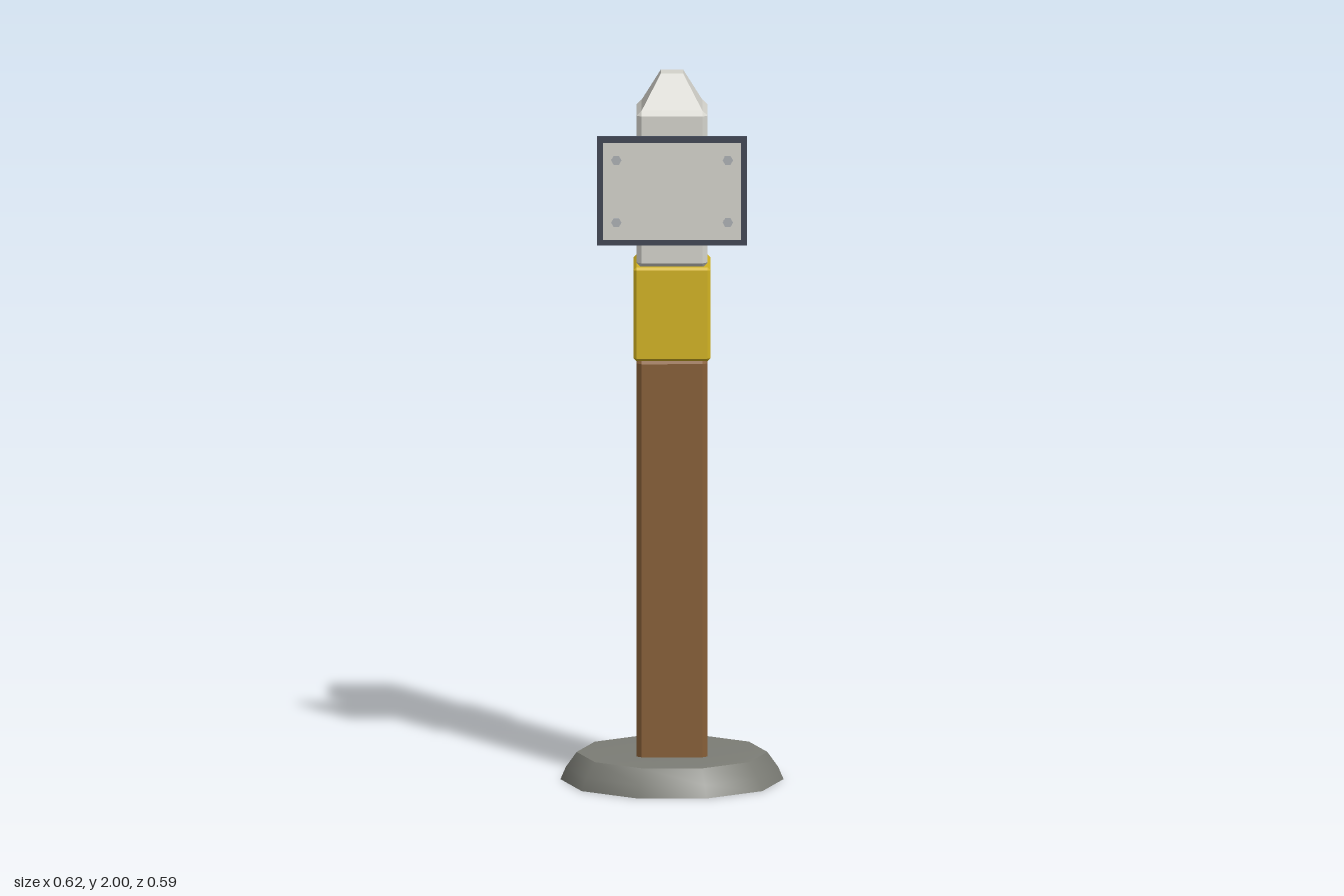
import * as THREE from 'three';
import { toCreasedNormals } from 'three/addons/utils/BufferGeometryUtils.js';
import { ConvexGeometry } from 'three/addons/geometries/ConvexGeometry.js';

const mat = (name, color) => Object.assign(new THREE.MeshStandardMaterial({ color }), { name });

// Square block of half width w from y0 to y1, with every edge chamfered by c
function chamferedBlock(w, y0, y1, c) {
  const h = (y1 - y0) / 2, mid = (y0 + y1) / 2, points = [];
  for (const sx of [-1, 1]) for (const sy of [-1, 1]) for (const sz of [-1, 1]) {
    for (const [ix, iy, iz] of [[0, c, c], [c, 0, c], [c, c, 0]]) {
      points.push(new THREE.Vector3(sx * (w - ix), mid + sy * (h - iy), sz * (w - iz)));
    }
  }
  return new ConvexGeometry(points);
}

export function createModel() {
  const group = new THREE.Group();
  group.name = 'signPost';

  const stone = mat('stoneGrey', 0x7c7d76);
  stone.side = THREE.DoubleSide;
  const brown = mat('brown', 0x875f38);
  const yellow = mat('yellow', 0xd2b322);
  const white = mat('offWhite', 0xd4d3cc);
  const dark = mat('darkSlate', 0x404654);
  const steel = mat('steel', 0xadb0b4);

  const add = (name, geometry, material, x = 0, y = 0, z = 0, parent = group) => {
    const mesh = new THREE.Mesh(geometry, material);
    mesh.name = name;
    mesh.position.set(x, y, z);
    parent.add(mesh);
    return mesh;
  };

  // Hollow ten-sided foot, open underneath
  const profile = [[0.31, 0], [0.295, 0.035], [0.265, 0.077], [0.225, 0.08], [0.08, 0.08]]
    .map(([r, y]) => new THREE.Vector2(r, y));
  const foot = new THREE.LatheGeometry(profile, 10, Math.PI / 2);
  add('foot', toCreasedNormals(foot, 0.7), stone);

  // Stacked post sections
  add('lowerPost', chamferedBlock(0.099, 0.065, 1.205, 0.014), brown);
  add('collar', chamferedBlock(0.107, 1.2, 1.465, 0.008), yellow);
  add('upperPost', chamferedBlock(0.099, 1.462, 1.905, 0.014), white);

  // Truncated pyramid cap
  const cap = new THREE.CylinderGeometry(0.031 * Math.SQRT2, 0.087 * Math.SQRT2, 0.1, 4)
    .rotateY(Math.PI / 4).toNonIndexed();
  cap.computeVertexNormals();
  add('cap', cap, white, 0, 1.95, 0);

  // Sign board with a pale face plate
  const sign = new THREE.Group();
  sign.name = 'sign';
  sign.position.set(0, 1.688, 0);
  group.add(sign);
  add('signBoard', new THREE.BoxGeometry(0.416, 0.306, 0.016), dark, 0, 0, 0.136, sign);
  add('signFace', new THREE.BoxGeometry(0.384, 0.274, 0.002), white, 0, 0, 0.1445, sign);

  // Hexagonal bolts through the board corners
  const bolt = new THREE.CylinderGeometry(0.0145, 0.0145, 0.047, 6)
    .rotateY(Math.PI / 6).rotateX(Math.PI / 2).toNonIndexed();
  bolt.computeVertexNormals();
  for (const x of [-0.155, 0.155]) for (const y of [-0.088, 0.088]) {
    add('bolt', bolt, steel, x, y, 0.1235, sign);
  }

  return group;
}
